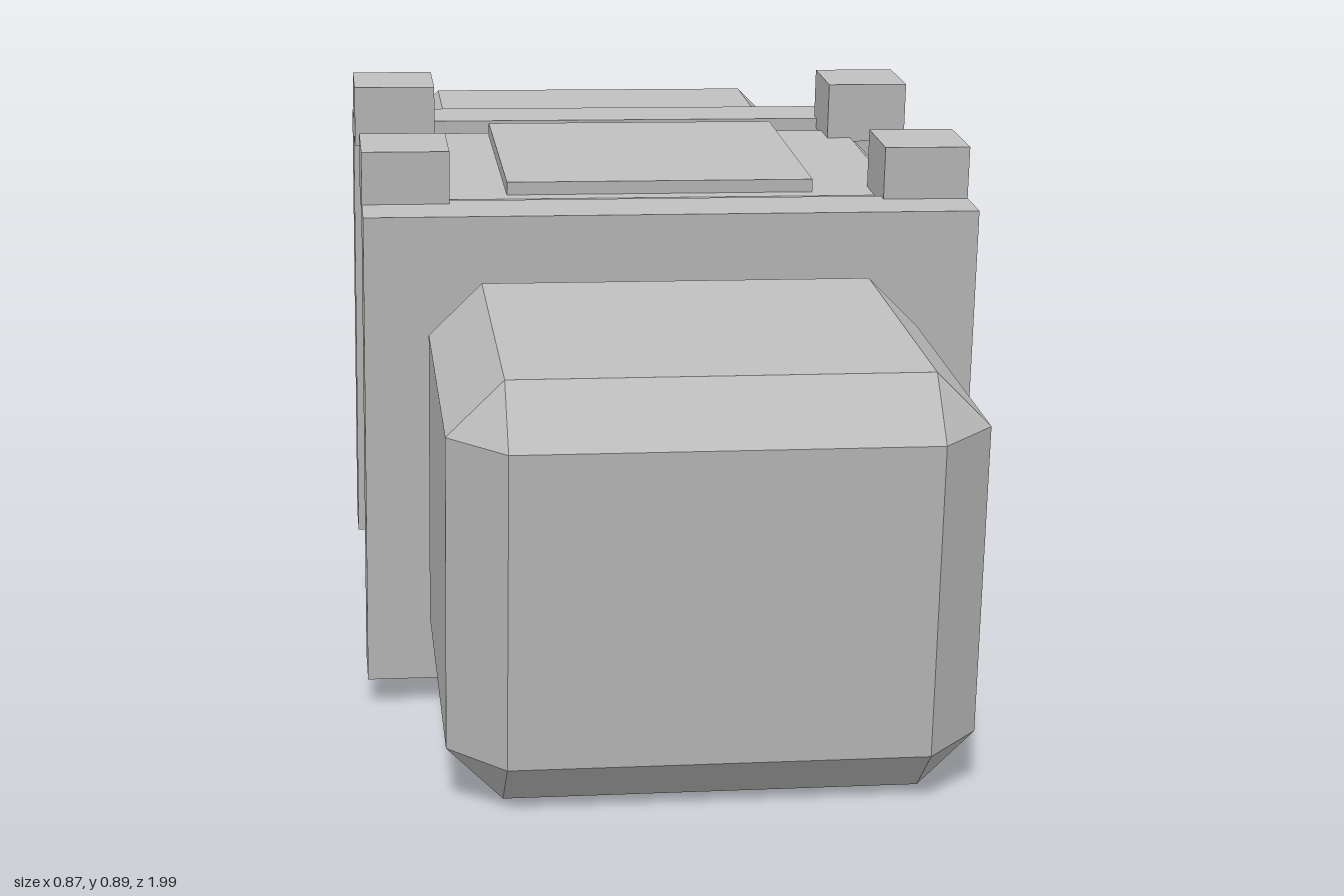
import * as THREE from 'three';
import { ConvexGeometry } from 'three/addons/geometries/ConvexGeometry.js';

const grey = new THREE.MeshStandardMaterial({ color: 0xbcbcbc });
grey.name = 'grey metal';

// Box with every edge bevelled by c
function chamferBox(w, h, d, c) {
  const points = [];
  for (const sx of [-1, 1]) for (const sy of [-1, 1]) for (const sz of [-1, 1]) {
    for (let full = 0; full < 3; full++) {
      const half = [w / 2 - c, h / 2 - c, d / 2 - c];
      half[full] += c;
      points.push(new THREE.Vector3(sx * half[0], sy * half[1], sz * half[2]));
    }
  }
  return new ConvexGeometry(points);
}

export function createModel() {
  const model = new THREE.Group();
  model.name = 'housing';
  const body = new THREE.Group();
  body.name = 'tiltedBody';
  model.add(body);

  function add(name, geometry, x, y, z) {
    const mesh = new THREE.Mesh(geometry, grey);
    mesh.name = name;
    mesh.position.set(x, y, z);
    body.add(mesh);
    return mesh;
  }

  // Three bevelled blocks along the axis
  add('frontBlock', chamferBox(0.696, 0.571, 0.596, 0.074), 0, 0.417, 0.618);
  add('middleBlock', chamferBox(0.84, 0.674, 0.58, 0.07), 0, 0.443, 0);
  add('rearBlock', chamferBox(0.696, 0.547, 0.6, 0.074), 0, 0.446, -0.624);

  // Flange plates with a lug at each upper corner
  for (const [end, s] of [['front', 1], ['rear', -1]]) {
    add(end + 'Flange', new THREE.BoxGeometry(0.874, 0.694, 0.095), 0, 0.443, s * 0.313);
    for (const [side, sx] of [['Left', 1], ['Right', -1]]) {
      add(end + side + 'Lug', new THREE.BoxGeometry(0.124, 0.092, 0.121), sx * 0.375, 0.82, s * 0.225);
    }
  }

  // Top hatch
  add('hatch', new THREE.BoxGeometry(0.45, 0.03, 0.4), 0, 0.784, -0.005);

  // Rear plate and knob
  add('rearPlate', new THREE.BoxGeometry(0.494, 0.373, 0.07), 0, 0.443, -0.945);
  const knob = add('knob', new THREE.CylinderGeometry(0.073, 0.073, 0.1, 8), 0, 0.447, -1.01);
  knob.rotation.x = -Math.PI / 2;

  // Tilt nose down, then centre and rest on the ground
  body.rotation.x = 0.149;
  model.updateMatrixWorld(true);
  const box = new THREE.Box3().setFromObject(model, true);
  body.position.set(0, -box.min.y, -(box.min.z + box.max.z) / 2);
  return model;
}
